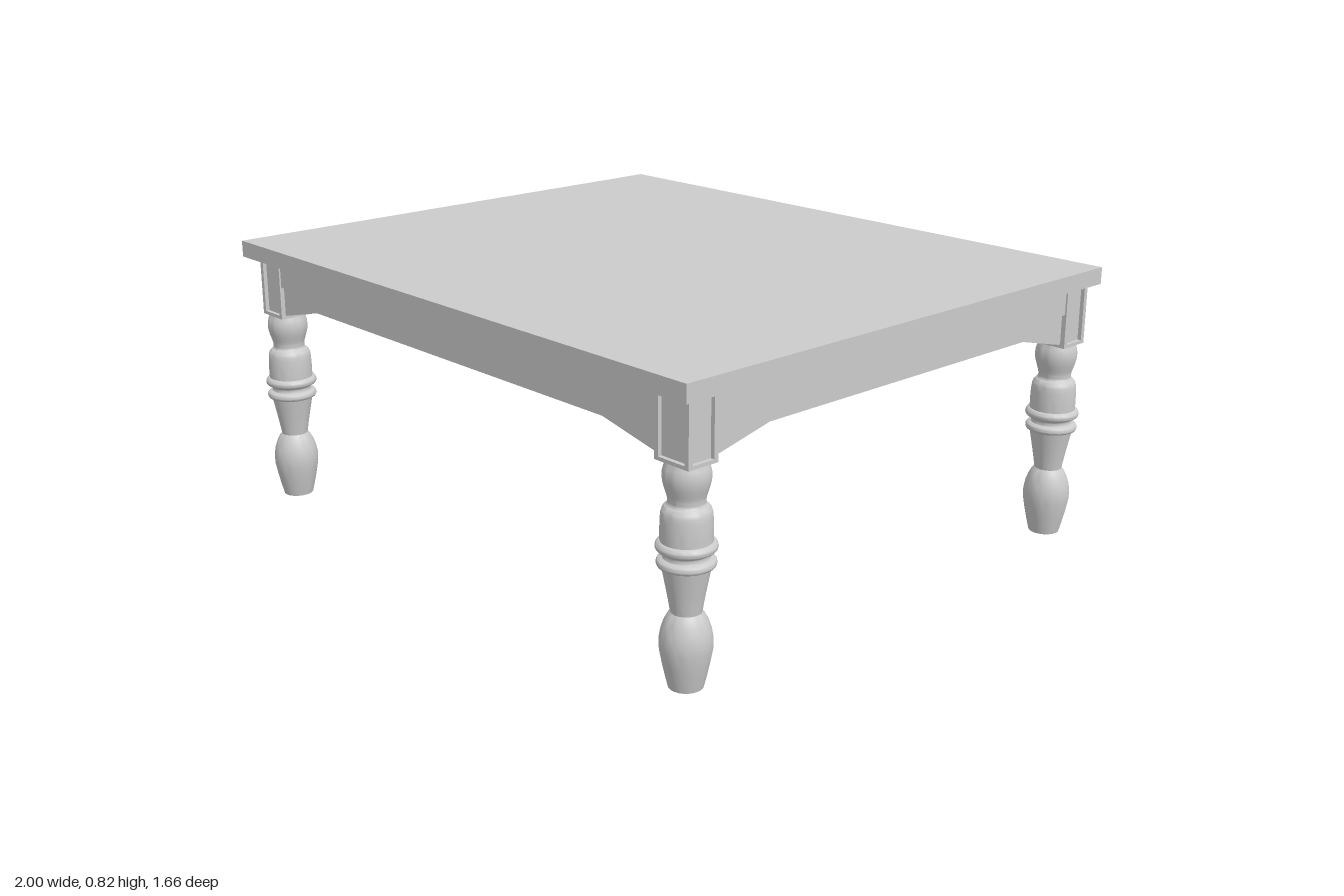
import * as THREE from 'three';
import { toCreasedNormals } from 'three/addons/utils/BufferGeometryUtils.js';

const mat = new THREE.MeshStandardMaterial({ color: 0xcccccc, side: THREE.DoubleSide });

function add(parent, geometry, name, x = 0, y = 0, z = 0) {
  const mesh = new THREE.Mesh(geometry, mat);
  mesh.name = name;
  mesh.position.set(x, y, z);
  parent.add(mesh);
}

// Polygon in x/y, extruded along +z, with an optional hole
function slab(points, depth, hole) {
  const toVec = ([x, y]) => new THREE.Vector2(x, y);
  const shape = new THREE.Shape(points.map(toVec));
  if (hole) shape.holes.push(new THREE.Path(hole.map(toVec)));
  return new THREE.ExtrudeGeometry(shape, { depth, bevelEnabled: false });
}

const rect = (x0, x1, y0, y1) => [[x0, y0], [x1, y0], [x1, y1], [x0, y1]];

// Posts and aprons rise inside the hollow top
const TOP = 0.818, POST = 0.595, TRIM = 0.012;

// Hollow top: a box open at the bottom
function topGeometry() {
  const box = new THREE.BoxGeometry(2, 0.05, 1.662);
  const index = Array.from(box.index.array);
  index.splice(18, 6);
  box.setIndex(index);
  box.clearGroups();
  return box;
}

// Turned leg, open at the foot: spline sections joined at sharp steps
function legGeometry() {
  const sections = [
    [[0.045, 0], [0.057, 0.05], [0.068, 0.11], [0.065, 0.15], [0.053, 0.185], [0.04, 0.203]],
    [[0.04, 0.203], [0.048, 0.25], [0.062, 0.322]],
    [[0.062, 0.322], [0.072, 0.326], [0.075, 0.334], [0.072, 0.343], [0.06, 0.348]],
    [[0.06, 0.348], [0.058, 0.356], [0.062, 0.363]],
    [[0.062, 0.363], [0.074, 0.368], [0.078, 0.377], [0.074, 0.387], [0.066, 0.391]],
    [[0.066, 0.391], [0.066, 0.43], [0.063, 0.468], [0.054, 0.482]],
    [[0.054, 0.482], [0.048, 0.487], [0.048, 0.502], [0.053, 0.52]],
    [[0.053, 0.52], [0.06, 0.545], [0.06, 0.57], [0.054, 0.59], [0.05, 0.6]],
  ];
  const profile = [];
  for (const s of sections) {
    const curve = new THREE.SplineCurve(s.map(([r, y]) => new THREE.Vector2(r, y)));
    profile.push(...curve.getPoints(8).slice(profile.length ? 1 : 0));
  }
  return toCreasedNormals(new THREE.LatheGeometry(profile, 40), 0.6);
}

// Square post above a leg, with a framed panel on each face
function makePost(x0, x1, z0, z1, plainSide) {
  const post = new THREE.Group();
  post.name = 'cornerPost';
  const w = x1 - x0, d = z1 - z0, h = TOP - POST;
  post.position.set((x0 + x1) / 2, 0, (z0 + z1) / 2);
  add(post, new THREE.BoxGeometry(w - TRIM * (plainSide ? 1 : 2), h - 0.004, d - 2 * TRIM),
    'postCore', plainSide ? -TRIM / 2 : 0, (TOP + POST) / 2 + 0.002, 0);
  for (let i = 0; i < 4; i++) {
    if (plainSide && i === 3) continue;
    const half = (i % 2 ? d : w) / 2, out = (i % 2 ? w : d) / 2;
    const inner = half - 0.014;
    const frame = slab(rect(-half, half, POST, TOP), TRIM, rect(-inner, inner, POST + 0.01, TOP - 0.01));
    const holder = new THREE.Group();
    holder.name = 'panelFrame';
    holder.rotation.y = i * Math.PI / 2;
    add(holder, frame, 'panelFrameTrim', 0, 0, out - TRIM);
    post.add(holder);
  }
  return post;
}

// Apron rail from x0 to x1: a band over a recessed board with drooping ends
function makeApron(x0, x1, flat, name) {
  const g = new THREE.Group();
  g.name = name;
  add(g, slab(rect(x0, x1, 0.696, TOP), 0.04), 'apronBand', 0, 0, -0.04);
  add(g, slab([[x0, 0.603], [-flat, 0.648], [flat, 0.648], [x1, 0.603], [x1, 0.696], [x0, 0.696]], 0.028),
    'apronBoard', 0, 0, -0.04);
  return g;
}

export function createModel() {
  const table = new THREE.Group();
  table.name = 'table';
  add(table, topGeometry(), 'tableTop', 0, 0.795, 0);

  // Legs and their posts
  const leg = legGeometry();
  const columns = [
    { x: -0.896, x0: -0.942, x1: -0.834, plain: true },
    { x: 0.919, x0: 0.861, x1: 0.981, plain: false },
  ];
  const rows = [{ z: 0.751, z0: 0.707, z1: 0.805 }, { z: -0.751, z0: -0.794, z1: -0.696 }];
  for (const c of columns) for (const r of rows) {
    add(table, leg, 'leg', c.x, 0, r.z);
    table.add(makePost(c.x0, c.x1, r.z0, r.z1, c.plain));
  }

  // Aprons on the four sides
  const aprons = [
    ['frontApron', -0.84, 0.865, 0.655, 0, 0.8, 0],
    ['backApron', -0.865, 0.84, 0.655, 0, -0.789, Math.PI],
    ['leftApron', -0.71, 0.7, 0.515, 0.976, 0, Math.PI / 2],
    ['rightApron', -0.7, 0.71, 0.515, -0.957, 0, -Math.PI / 2],
  ];
  for (const [name, x0, x1, flat, x, z, turn] of aprons) {
    const apron = makeApron(x0, x1, flat, name);
    apron.position.set(x, 0, z);
    apron.rotation.y = turn;
    table.add(apron);
  }
  return table;
}
